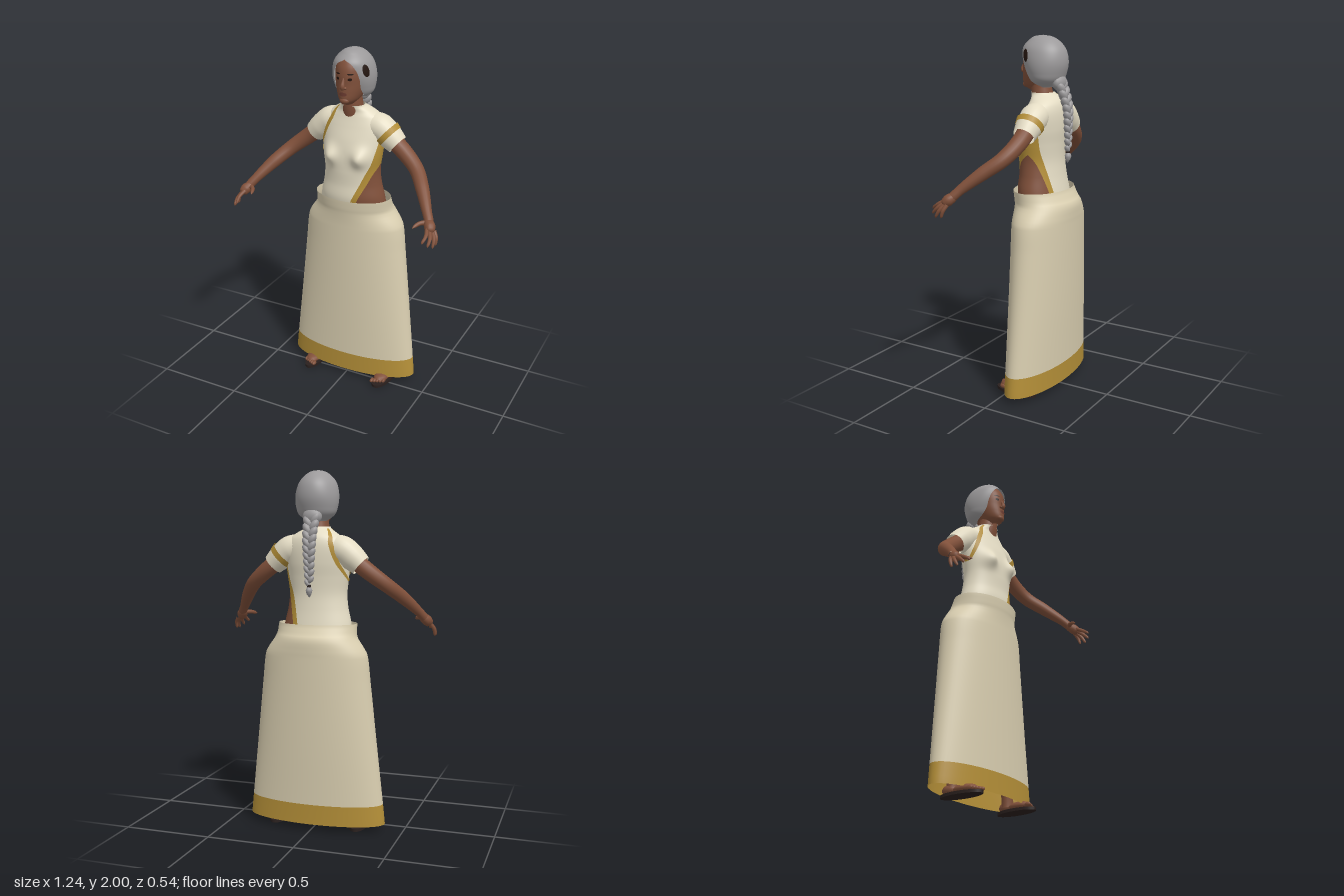
import * as THREE from 'three';
import { mergeVertices } from 'three/addons/utils/BufferGeometryUtils.js';

const paint = (name, color, side = THREE.FrontSide) => {
  const m = new THREE.MeshStandardMaterial({ color, side });
  m.name = name;
  return m;
};

// Smooth lookup of a table [[y, a, b, ...], ...] at height y
function at(table, y) {
  const n = table.length;
  y = Math.min(Math.max(y, table[0][0]), table[n - 1][0]);
  let i = 0;
  while (i < n - 2 && y > table[i + 1][0]) i++;
  const p = table[i], q = table[i + 1];
  const o = table[Math.max(i - 1, 0)], r = table[Math.min(i + 2, n - 1)];
  const h = q[0] - p[0], t = (y - p[0]) / h;
  return p.slice(1).map((_, k) => {
    const c = k + 1;
    const m0 = (q[c] - o[c]) / (q[0] - o[0]) * h, m1 = (r[c] - p[c]) / (r[0] - p[0]) * h;
    return p[c] * (2 * t ** 3 - 3 * t * t + 1) + m0 * (t ** 3 - 2 * t * t + t)
      + q[c] * (3 * t * t - 2 * t ** 3) + m1 * (t ** 3 - t * t);
  });
}

// Body sections: [height, half width, front z, back z]
const TORSO = [[1.08, .2, .03, -.215], [1.17, .19, .045, -.2], [1.25, .172, .04, -.188], [1.33, .165, .042, -.182],
  [1.42, .175, .04, -.188], [1.5, .182, .025, -.198], [1.58, .18, 0, -.2], [1.63, .155, -.015, -.192],
  [1.66, .115, -.02, -.175], [1.685, .075, -.012, -.145], [1.705, .064, -.005, -.125]];
const SKIRT = [[.04, .4, .04, -.235], [.155, .388, .041, -.239], [.5, .35, .045, -.255], [.85, .312, .049, -.268],
  [.99, .295, .051, -.273], [1.03, .275, .052, -.275], [1.085, .236, .056, -.273], [1.11, .228, .06, -.255],
  [1.165, .225, .065, -.225]];
const HEAD = [[1.705, .025, .01, -.09], [1.722, .042, .038, -.12], [1.74, .056, .047, -.13], [1.78, .073, .047, -.15],
  [1.82, .082, .045, -.16], [1.87, .085, .045, -.165], [1.92, .08, .034, -.16], [1.96, .055, .005, -.13], [1.975, .02, -.03, -.1]];
const HAIR = [[1.725, .055, -.04, -.145], [1.76, .1, -.01, -.185], [1.8, .115, .012, -.203], [1.85, .12, .032, -.214],
  [1.9, .113, .042, -.21], [1.94, .097, .037, -.193], [1.975, .066, .005, -.158], [1.994, .034, -.025, -.118], [2, .002, -.068, -.072]];

function pointOn(table, th, y, off) {
  const [w, f, b] = at(table, y);
  const x = (w + off) * Math.sin(th);
  let z = (f + b) / 2 + ((f - b) / 2 + off) * Math.cos(th);
  if (table === TORSO && Math.cos(th) > 0) {
    z += .042 * Math.cos(th) ** .5 * Math.exp(-(((Math.abs(x) - .095) / .045) ** 2) - ((y - 1.415) / .05) ** 2);
  }
  return new THREE.Vector3(x, y, z);
}

// Part of a sectioned surface between two edge angles (0 = front, +90 degrees = the left side)
function panel(table, a, b, y0, y1, off = 0, rows = 30, cols = 40) {
  const edge = (e, y) => typeof e === 'function' ? e(y) : Array.isArray(e) ? at(e, y)[0] : e;
  const pos = [], nor = [], idx = [], d = 1e-3;
  for (let i = 0; i <= rows; i++) {
    const y = y0 + (y1 - y0) * i / rows, s = edge(a, y), e = edge(b, y);
    for (let j = 0; j <= cols; j++) {
      const th = s + (e - s) * j / cols;
      const p = pointOn(table, th, y, off);
      const u = pointOn(table, th + d, y, off).sub(pointOn(table, th - d, y, off));
      const v = pointOn(table, th, y + d, off).sub(pointOn(table, th, y - d, off));
      pos.push(...p.toArray());
      nor.push(...u.cross(v).normalize().toArray());
      const k = i * (cols + 1) + j;
      if (i < rows && j < cols) idx.push(k, k + 1, k + cols + 1, k + 1, k + cols + 2, k + cols + 1);
    }
  }
  const g = new THREE.BufferGeometry();
  g.setAttribute('position', new THREE.Float32BufferAttribute(pos, 3));
  g.setAttribute('normal', new THREE.Float32BufferAttribute(nor, 3));
  return g.setIndex(idx);
}

// Lens-shaped patch lying on a sectioned surface
function patch(table, c, w, yc, h, off = .002) {
  const half = y => w * Math.sqrt(Math.max(0, 1 - ((y - yc) / h) ** 2));
  return panel(table, y => c - half(y), y => c + half(y), yc - h, yc + h, off, 8, 8);
}

// Tube through [x, y, z, radius] points
function limb(pts, n = 24, m = 14) {
  const curve = new THREE.CatmullRomCurve3(pts.map(p => new THREE.Vector3(p[0], p[1], p[2])));
  const g = new THREE.TubeGeometry(curve, n, 1, m);
  const P = g.attributes.position, v = new THREE.Vector3();
  for (let i = 0; i <= n; i++) {
    const t = curve.getUtoTmapping(i / n) * (pts.length - 1), k = Math.min(Math.floor(t), pts.length - 2);
    const r = pts[k][3] + (pts[k + 1][3] - pts[k][3]) * (t - k), c = curve.getPointAt(i / n);
    for (let j = 0; j <= m; j++) {
      const q = i * (m + 1) + j;
      v.fromBufferAttribute(P, q).sub(c).multiplyScalar(r).add(c);
      P.setXYZ(q, v.x, v.y, v.z);
    }
  }
  g.deleteAttribute('uv');
  g.deleteAttribute('normal');
  const out = mergeVertices(g, 1e-5);
  out.computeVertexNormals();
  return out;
}

export function createModel() {
  const model = new THREE.Group(), D = THREE.DoubleSide, PI = Math.PI;
  const cream = paint('blouse cream', 0xe4dcc4, D), linen = paint('skirt cream', 0xd9ceb0, D);
  const gold = paint('gold trim', 0xb48f38, D), skin = paint('skin', 0x80503a);
  const grey = paint('grey hair', 0x9c9a9b, D), dark = paint('dark sole', 0x2a201e);
  const ink = paint('eye dark', 0x24150f), lip = paint('lips', 0x6b3b30);
  const add = (name, g, mat, parent = model) => {
    const m = new THREE.Mesh(g, mat);
    m.name = name;
    parent.add(m);
    return m;
  };
  const ball = (name, mat, p, s, parent) => {
    const m = add(name, new THREE.SphereGeometry(1, 16, 12), mat, parent);
    m.position.set(...p);
    m.scale.set(...s);
    return m;
  };

  // Skirt and hem
  add('skirt', panel(SKIRT, 0, 2 * PI, .155, 1.165, 0, 50, 64), linen);
  add('skirtHem', panel(SKIRT, 0, 2 * PI, .04, .155, 0, 3, 64), gold);

  // Blouse with a bare left waist edged in gold
  const goldFront = [[1.08, .1], [1.17, .24], [1.3, .69], [1.38, 1.0], [1.5, 1.2], [1.6, 1.5]];
  const skinFront = [[1.08, .28], [1.17, .42], [1.27, .85], [1.33, 1.2], [1.37, 1.62]];
  const skinBack = [[1.08, 2.6], [1.17, 2.5], [1.27, 2.2], [1.33, 1.95], [1.37, 1.63]];
  const goldBack = [[1.08, 2.78], [1.17, 2.68], [1.3, 2.4], [1.38, 2.2], [1.5, 2.0], [1.6, 1.6]];
  add('blouse', panel(TORSO, goldBack, y => at(goldFront, y)[0] + 2 * PI, 1.08, 1.6, 0, 50, 72), cream);
  add('blouseYoke', panel(TORSO, 1.55, 1.55 + 2 * PI, 1.59, 1.695, 0, 20, 64), cream);
  add('waist', panel(TORSO, skinFront, skinBack, 1.08, 1.37, 0, 24, 20), skin);
  add('frontTrim', panel(TORSO, goldFront, skinFront, 1.08, 1.37, 0, 24, 6), gold);
  add('backTrim', panel(TORSO, skinBack, goldBack, 1.08, 1.37, 0, 24, 6), gold);
  add('sideTrim', panel(TORSO, goldFront, goldBack, 1.37, 1.6, 0, 20, 14), gold);

  // Trim around the right armhole
  const rightFront = [[1.4, -1.5], [1.43, -1.3], [1.5, -.98], [1.6, -.7], [1.64, -.72], [1.685, -1.0]];
  const rightBack = [[1.4, -1.6], [1.43, -1.9], [1.5, -2.3], [1.6, -2.5], [1.64, -2.4], [1.685, -2.1]];
  for (const [name, path] of [['rightFrontTrim', rightFront], ['rightBackTrim', rightBack]]) {
    add(name, panel(TORSO, y => at(path, y)[0] - .09, y => at(path, y)[0] + .09, 1.4, 1.685, .005, 24, 4), gold);
  }

  // Sleeves, arms, hands, legs and feet, mirrored
  for (const s of [1, -1]) {
    const side = s > 0 ? 'left' : 'right';
    const tube = (name, pts, mat, n, m) => add(side + name, limb(pts.map(([x, ...r]) => [s * x, ...r]), n, m), mat);
    tube('Sleeve', [[.07, 1.585, -.1, .068], [.15, 1.57, -.105, .077], [.212, 1.523, -.105, .071], [.255, 1.485, -.105, .06]], cream, 20, 24);
    tube('Arm', [[.19, 1.535, -.105, .05], [.3, 1.45, -.098, .046], [.39, 1.378, -.06, .041], [.46, 1.308, .02, .037],
      [.53, 1.222, .115, .026], [.555, 1.188, .145, .025]], skin, 32, 16);
    tube('Palm', [[.54, 1.205, .125, .015], [.553, 1.185, .148, .027], [.567, 1.17, .165, .031], [.577, 1.152, .185, .024], [.58, 1.146, .192, .004]], skin, 14);
    [[.562, 1.165, .188, .567, 1.113, .268], [.576, 1.154, .186, .592, 1.093, .252],
      [.587, 1.148, .174, .608, 1.078, .222], [.59, 1.15, .158, .61, 1.08, .185]].forEach(([x, y, z, X, Y, Z], i) => {
      tube('Finger' + (i + 1), [[x, y, z, .012], [(x + X) / 2 + .008, (y + Y) / 2 + .004, (z + Z) / 2, .0105],
        [X, Y + .005, Z - .003, .007], [X, Y, Z, .001]], skin, 10, 8);
    });
    tube('Thumb', [[.545, 1.185, .15, .015], [.515, 1.183, .175, .012], [.5, 1.176, .205, .01], [.494, 1.17, .226, .001]], skin, 10, 8);

    // Leg, foot, toes and sandal sole
    tube('Leg', [[.1, 1.08, -.09, .075], [.14, .8, -.085, .075], [.185, .5, -.085, .055], [.205, .35, -.1, .052], [.23, .1, -.1, .032], [.235, .04, -.1, .034]], skin, 30);
    const foot = new THREE.Group();
    foot.name = side + 'Foot';
    foot.position.set(s * .235, 0, -.04);
    foot.rotation.y = s * -.06;
    model.add(foot);
    const sole = add('sole', new THREE.CylinderGeometry(1, 1, .016, 28), dark, foot);
    sole.scale.set(.053, 1, .13);
    sole.position.y = .009;
    ball('instep', skin, [0, .034, .025], [.044, .026, .075], foot);
    ball('heel', skin, [0, .04, -.07], [.034, .03, .048], foot);
    for (let i = 0; i < 5; i++) ball('toe' + (i + 1), skin, [s * (-.03 + i * .016), .03, .103 - i * .008], [.0115 - i * .001, .012, .02], foot);
  }

  // Gold band over the left sleeve
  const band = add('leftSleeveBand', new THREE.CylinderGeometry(.074, .08, .032, 28, 1, true), gold);
  band.position.set(.2, 1.534, -.105);
  band.quaternion.setFromUnitVectors(new THREE.Vector3(0, 1, 0), new THREE.Vector3(.74, -.67, 0).normalize());

  // Neck, head and face
  add('neck', limb([[0, 1.62, -.08, .062], [0, 1.68, -.068, .06], [0, 1.73, -.062, .055], [0, 1.78, -.065, .055]], 12, 24), skin);
  add('head', panel(HEAD, 0, 2 * PI, 1.705, 1.975, 0, 40, 40), skin);
  ball('chin', skin, [0, 1.735, .03], [.028, .02, .023]);
  add('nose', limb([[0, 1.87, .036, .004], [0, 1.84, .048, .008], [0, 1.816, .056, .013], [0, 1.804, .052, .012], [0, 1.798, .042, .002]], 14, 10), skin);
  for (const s of [1, -1]) {
    ball('nostril', skin, [s * .011, 1.806, .046], [.009, .008, .01]);
    add('eye', patch(HEAD, s * .42, .13, 1.853, .008), ink);
    add('eyebrow', patch(HEAD, s * .44, .2, 1.88, .004), ink);
  }
  add('lips', patch(HEAD, 0, .3, 1.772, .011, .005), lip);

  // Hair shell, open over the face
  const hairline = [[1.725, 1.75], [1.75, 1.0], [1.79, .72], [1.85, .68], [1.9, .58], [1.935, .36], [1.955, 0], [2, 0]];
  const open = y => y > 1.954 ? 0 : Math.max(0, at(hairline, y)[0]);
  add('hair', panel(HAIR, open, y => 2 * PI - open(y), 1.725, 2, 0, 60, 56), grey);
  add('hairPatch', patch(HAIR, 1.05, .17, 1.895, .035, .003), ink);

  // Braid of paired, tilted strands that narrows to a tuft
  const braid = new THREE.Group();
  braid.name = 'braid';
  model.add(braid);
  ball('braidRoot', grey, [0, 1.75, -.175], [.055, .045, .035], braid);
  for (let i = 0; i < 20; i++) {
    const t = i / 19, s = i % 2 ? 1 : -1, w = .032 - .014 * t;
    const y = 1.735 - .34 * t, z = -.185 - .047 * Math.sin(Math.min(1, t * 2) * PI / 2);
    ball('strand', grey, [s * w * .55, y, z], [w * .72, w * 1.25, w * .85], braid).rotation.z = s * -.6;
  }
  add('braidTie', new THREE.CylinderGeometry(.012, .012, .014, 12), dark, braid).position.set(0, 1.377, -.231);
  add('braidTuft', limb([[0, 1.38, -.231, .008], [0, 1.355, -.232, .019], [0, 1.335, -.23, .014], [0, 1.315, -.228, .001]], 10, 10), grey, braid);
  return model;
}
